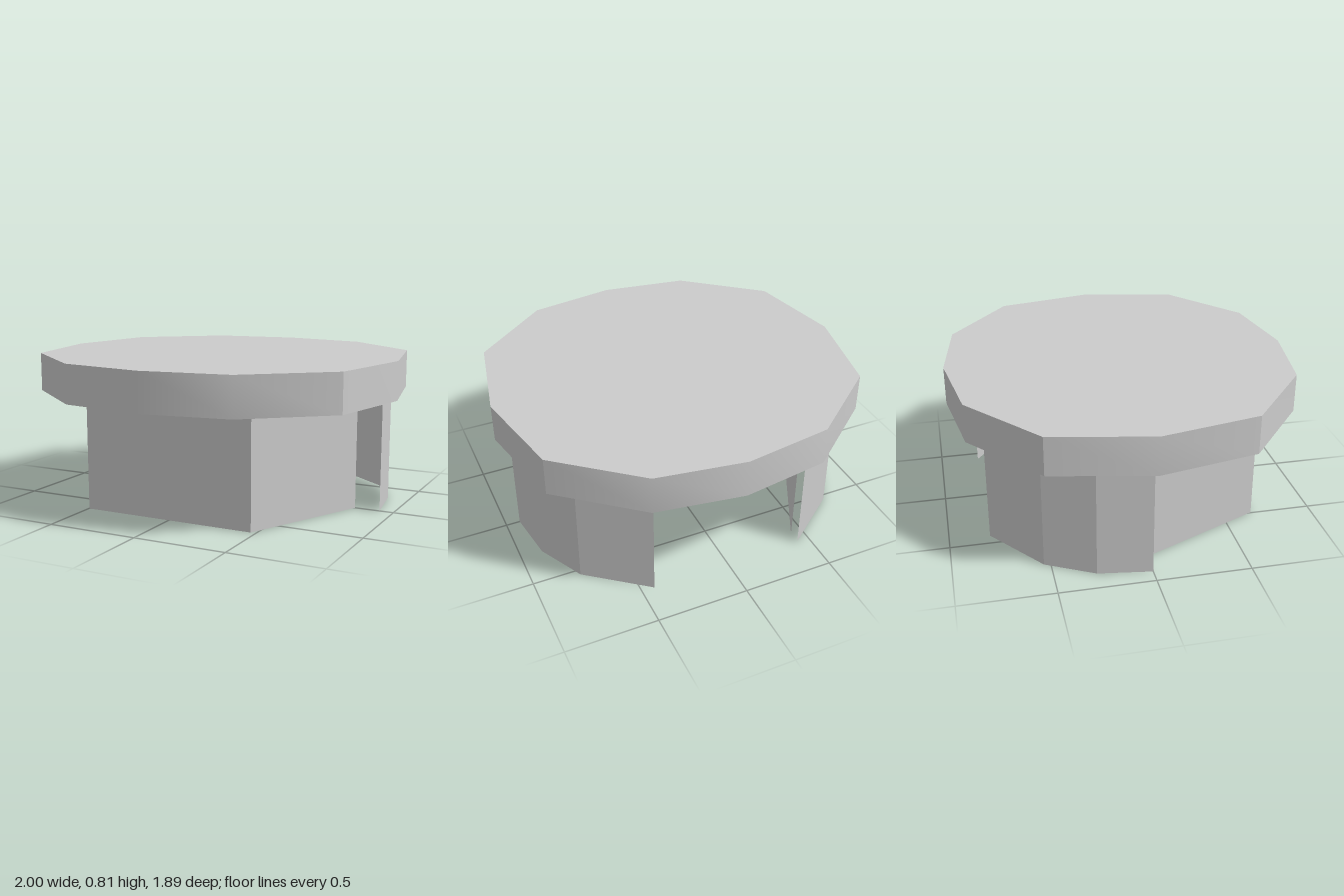
import * as THREE from 'three';
import { toCreasedNormals } from 'three/addons/utils/BufferGeometryUtils.js';

const RIM_BOTTOM = 0.605, RIM_TOP = 0.815;

// Thin upright wall following a plan path of [x, z] points, from the ground to the lid
function wall(name, path, material) {
  const pos = [];
  for (let i = 0; i < path.length - 1; i++) {
    const [ax, az] = path[i], [bx, bz] = path[i + 1];
    const a = [ax, 0, az], b = [bx, 0, bz];
    const c = [bx, RIM_BOTTOM, bz], d = [ax, RIM_BOTTOM, az];
    pos.push(...a, ...b, ...c, ...a, ...c, ...d);
  }
  const geo = new THREE.BufferGeometry();
  geo.setAttribute('position', new THREE.Float32BufferAttribute(pos, 3));
  geo.computeVertexNormals();
  const mesh = new THREE.Mesh(geo, material);
  mesh.name = name;
  return mesh;
}

export function createModel() {
  const group = new THREE.Group();
  group.name = 'cap';
  const lidMaterial = new THREE.MeshStandardMaterial({ color: 0xcccccc });
  const wallMaterial = new THREE.MeshStandardMaterial({
    color: 0xcccccc, side: THREE.DoubleSide, flatShading: true,
  });

  // Twelve-sided lid, one quarter of the outline mirrored around
  const quarter = [[1, 0], [0.892, 0.532], [0.474, 0.874], [0, 0.946]];
  const half = [...quarter, ...quarter.slice(0, 3).reverse().map(([x, y]) => [-x, y])];
  const outline = [...half, ...half.slice(1, -1).map(([x, y]) => [-x, -y])];
  const shape = new THREE.Shape(outline.map(([x, y]) => new THREE.Vector2(x, y)));
  let lidGeo = new THREE.ExtrudeGeometry(shape, { depth: RIM_TOP - RIM_BOTTOM, bevelEnabled: false });
  lidGeo.rotateX(-Math.PI / 2);
  lidGeo.translate(0, RIM_BOTTOM, 0);
  lidGeo = toCreasedNormals(lidGeo, 0.6);
  const lid = new THREE.Mesh(lidGeo, lidMaterial);
  lid.name = 'lid';
  group.add(lid);

  // Inner skirt, open at the back
  group.add(wall('innerSkirt', [
    [-0.43, -0.715], [-0.79, 0], [-0.497, 0.665],
    [0.472, 0.665], [0.785, 0], [0.43, -0.715],
  ], wallMaterial));

  // Curved outer clips at the back corners
  for (const s of [-1, 1]) {
    const path = [[0.923, 0], [0.882, -0.283], [0.75, -0.535], [0.43, -0.783]];
    group.add(wall(s > 0 ? 'leftClip' : 'rightClip', path.map(([x, z]) => [s * x, z]), wallMaterial));
  }
  return group;
}
